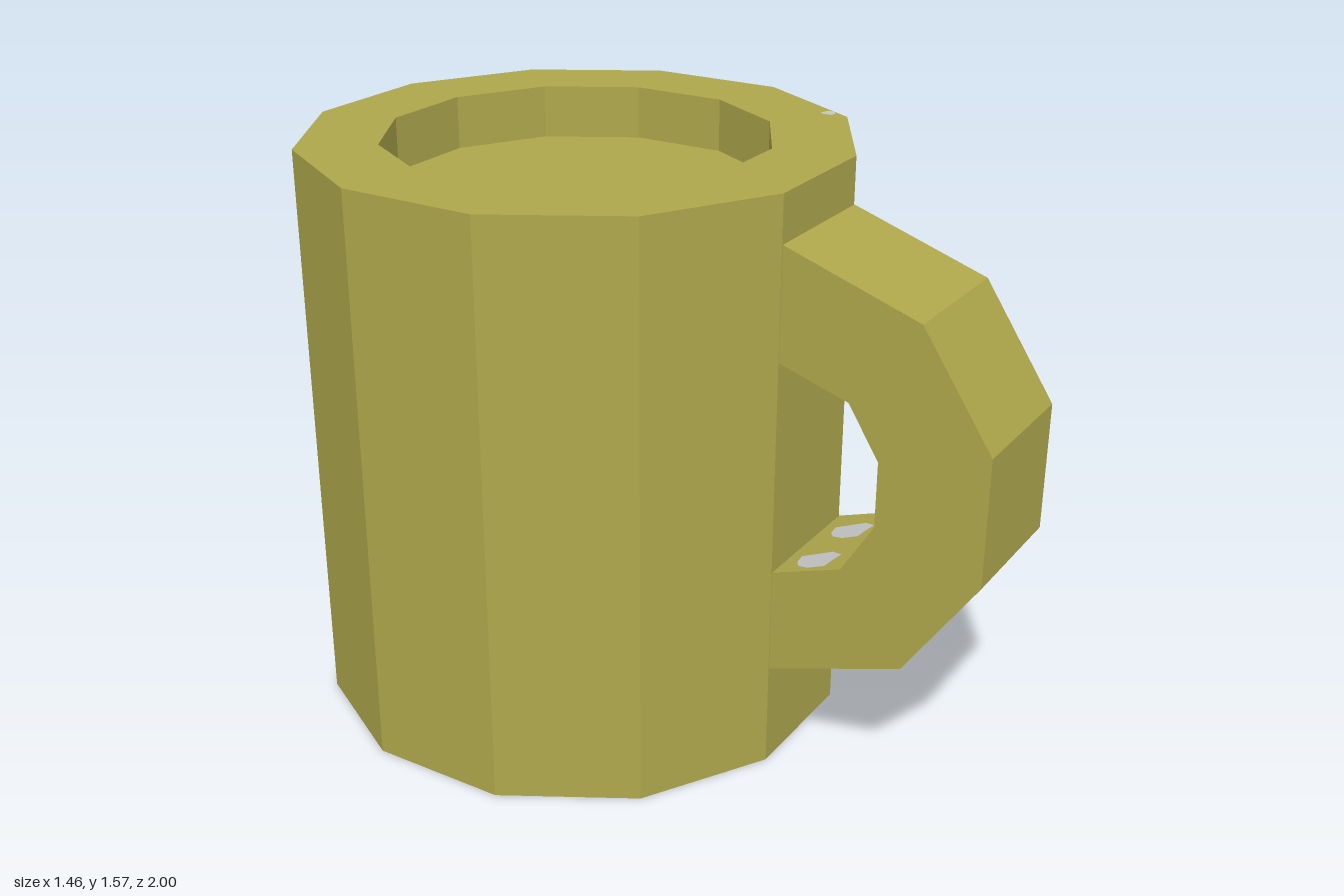
import * as THREE from 'three';

const olive = new THREE.MeshStandardMaterial({ name: 'olive glaze', color: 0xaea74c, flatShading: true });
const grey = new THREE.MeshStandardMaterial({ name: 'grey chip', color: 0xc6c6c6, flatShading: true });

const HEIGHT = 1.57, RADIUS = 0.73, INNER = 0.515, DEPTH = 0.145;
const WIDTH = 0.377; // handle width, equal to one facet of the body

function mesh(name, geometry, material) {
  const m = new THREE.Mesh(geometry, material);
  m.name = name;
  return m;
}

// Small irregular flat chip facing +z
function chip(name, w, h) {
  const pts = [];
  for (let i = 0; i < 9; i++) {
    const a = (i / 9) * Math.PI * 2;
    const r = 0.5 * (1 + 0.18 * Math.sin(i * 2.3));
    pts.push(new THREE.Vector2(Math.cos(a) * r * w, Math.sin(a) * r * h));
  }
  return mesh(name, new THREE.ShapeGeometry(new THREE.Shape(pts)), grey);
}

export function createModel() {
  const model = new THREE.Group();
  model.name = 'mug';

  // Twelve-sided body with a shallow recessed surface inside the thick rim
  const body = new THREE.Group();
  body.name = 'body';
  body.position.z = -0.27;
  const profile = [
    [0, 0], [RADIUS, 0], [RADIUS, HEIGHT], [INNER, HEIGHT], [INNER, HEIGHT - DEPTH], [0, HEIGHT - DEPTH],
  ].map(([r, y]) => new THREE.Vector2(r, y));
  body.add(mesh('cup', new THREE.LatheGeometry(profile, 12), olive));
  model.add(body);

  // Chips on the rim and on the recessed surface
  const rimChip = chip('rimChip', 0.04, 0.04);
  rimChip.position.set(0.62, HEIGHT + 0.003, 0.31);
  const floorChip = chip('floorChip', 0.085, 0.05);
  floorChip.position.set(0.34, HEIGHT - DEPTH + 0.003, 0.34);
  floorChip.rotation.z = Math.PI / 4;
  for (const c of [rimChip, floorChip]) {
    c.rotation.x = -Math.PI / 2;
    body.add(c);
  }

  // C-shaped handle on one front facet, given as [distance from the body, height]
  const outer = [[0, 0.285], [0.367, 0.405], [0.56, 0.69], [0.56, 1.03], [0.367, 1.32], [0, 1.445]];
  const inner = [[0, 1.145], [0.19, 1.085], [0.275, 0.95], [0.275, 0.775], [0.19, 0.635], [0, 0.57]];
  const handle = new THREE.Group();
  handle.name = 'handle';
  const shape = new THREE.Shape([...outer, ...inner].map(([d, y]) => new THREE.Vector2(d, y)));
  const grip = new THREE.ExtrudeGeometry(shape, { depth: WIDTH, bevelEnabled: false });
  grip.translate(0, 0, -WIDTH / 2).rotateY(-Math.PI / 2);
  handle.add(mesh('grip', grip, olive));

  // Worn chips along the inside of the grip
  for (let i = 0; i < inner.length - 1; i++) {
    const [d0, y0] = inner[i], [d1, y1] = inner[i + 1];
    const normal = new THREE.Vector3(0, d1 - d0, y1 - y0).normalize();
    normal.set(0, -normal.y, normal.z);
    for (const side of [-1, 1]) {
      const c = chip('gripChip', 0.1, 0.12);
      c.position.set(side * 0.095 + (i % 2 ? 0.03 : -0.03), (y0 + y1) / 2, (d0 + d1) / 2);
      c.position.addScaledVector(normal, 0.003);
      c.lookAt(c.position.clone().add(normal));
      handle.add(c);
    }
  }
  handle.position.set(0.1825, 0, 0.4125);
  handle.rotation.y = Math.PI / 12;
  model.add(handle);

  return model;
}
